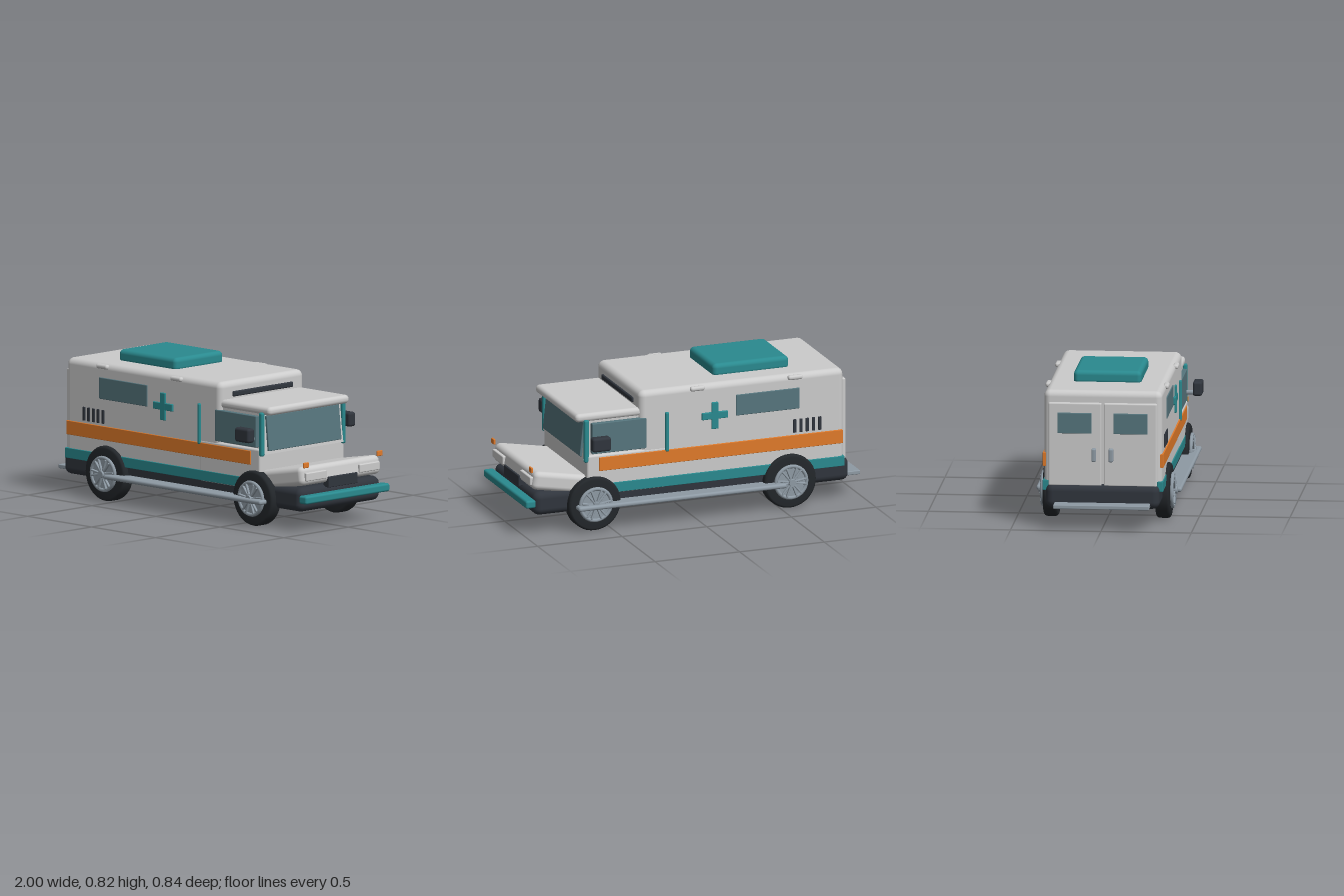
import * as THREE from 'three';
import { RoundedBoxGeometry } from 'three/addons/geometries/RoundedBoxGeometry.js';

const mat = (color) => new THREE.MeshStandardMaterial({ color });
const GREY = mat(0xcccccc), TEAL = mat(0x2a8a8f), ORANGE = mat(0xe07a2a), GLASS = mat(0x56757d);
const DARK = mat(0x30353d), TYRE = mat(0x23272b), METAL = mat(0x8e9aa4);

export function createModel() {
  const model = new THREE.Group();
  model.name = 'ambulance';

  const add = (name, geometry, material, parent = model) => {
    const mesh = new THREE.Mesh(geometry, material);
    mesh.name = name;
    parent.add(mesh);
    return mesh;
  };
  // Rounded box given by its limits on each axis
  const box = (name, material, [x0, x1], [y0, y1], [z0, z1], r = 0.005, parent = model) => {
    const mesh = add(name, new RoundedBoxGeometry(x1 - x0, y1 - y0, z1 - z0, 3, r), material, parent);
    mesh.position.set((x0 + x1) / 2, (y0 + y1) / 2, (z0 + z1) / 2);
    return mesh;
  };
  // The same box on both flanks; z limits are distances from the centre
  const pair = (name, material, x, y, [z0, z1], r) => {
    box(name + 'Left', material, x, y, [-z1, -z0], r);
    box(name + 'Right', material, x, y, [z0, z1], r);
  };

  // Main body
  box('chassis', DARK, [-0.918, 0.945], [0.11, 0.245], [-0.315, 0.315], 0.04);
  box('rearBody', GREY, [-0.88, 0.33], [0.2, 0.765], [-0.327, 0.327], 0.035);
  box('cabLower', GREY, [0.165, 0.64], [0.2, 0.43], [-0.329, 0.329], 0.012);
  const hood = box('hood', GREY, [0.6, 0.95], [0.23, 0.335], [-0.31, 0.31], 0.03);
  hood.rotation.z = 0.18;

  // Cab upper with a raked front
  const profile = new THREE.Shape([[0.28, 0.4], [0.655, 0.4], [0.63, 0.64], [0.28, 0.64]]
    .map(([x, y]) => new THREE.Vector2(x, y)));
  const cab = add('cabUpper', new THREE.ExtrudeGeometry(profile, { depth: 0.61, bevelEnabled: false }), GREY);
  cab.position.z = -0.305;
  box('cabRoof', GREY, [0.28, 0.7], [0.62, 0.668], [-0.313, 0.313], 0.022);
  const windscreen = box('windscreen', GLASS, [0.64, 0.656], [0.417, 0.613], [-0.282, 0.282], 0.004);
  windscreen.rotation.z = 0.105;
  pair('cabWindow', GLASS, [0.29, 0.61], [0.437, 0.612], [0.295, 0.33], 0.004);
  pair('windscreenPillar', TEAL, [0.625, 0.655], [0.39, 0.635], [0.302, 0.328], 0.01);

  // Side trim
  pair('sideStripe', ORANGE, [-0.87, 0.57], [0.337, 0.415], [0.31, 0.334], 0.003);
  pair('sillStripe', TEAL, [-0.88, 0.66], [0.205, 0.262], [0.3, 0.333], 0.003);
  pair('sideWindow', GLASS, [-0.615, -0.24], [0.565, 0.685], [0.31, 0.332], 0.004);
  pair('crossBar', TEAL, [-0.19, -0.037], [0.562, 0.602], [0.31, 0.338], 0.004);
  pair('crossPost', TEAL, [-0.133, -0.094], [0.505, 0.658], [0.31, 0.3385], 0.004);
  pair('grabRail', TEAL, [0.158, 0.18], [0.405, 0.633], [0.32, 0.341], 0.009);
  for (let i = 0; i < 5; i++) {
    const x = -0.735 + i * 0.037;
    pair('vent' + (i + 1), DARK, [x - 0.009, x + 0.009], [0.428, 0.505], [0.31, 0.333], 0.003);
  }
  for (const x of [-0.59, -0.012]) pair('markerLamp', GREY, [x - 0.043, x + 0.043], [0.734, 0.76], [0.31, 0.341], 0.012);
  pair('runningBoard', METAL, [-0.515, 0.715], [0.135, 0.161], [0.29, 0.402], 0.012);

  // Roof unit and front strip
  box('roofUnit', TEAL, [-0.61, -0.16], [0.75, 0.826], [-0.188, 0.188], 0.025);
  box('frontStrip', DARK, [0.31, 0.34], [0.678, 0.708], [-0.233, 0.233], 0.008);

  // Mirrors
  pair('mirrorArm', METAL, [0.575, 0.6], [0.472, 0.497], [0.3, 0.38], 0.011);
  pair('mirror', DARK, [0.53, 0.64], [0.473, 0.553], [0.367, 0.419], 0.014);

  // Nose
  box('bumper', TEAL, [0.94, 1], [0.163, 0.208], [-0.326, 0.326], 0.012);
  box('grille', DARK, [0.92, 0.962], [0.23, 0.29], [-0.113, 0.113], 0.004);
  pair('headlamp', GREY, [0.93, 0.962], [0.284, 0.331], [0.129, 0.286], 0.006);
  pair('indicator', ORANGE, [0.95, 0.962], [0.36, 0.39], [0.265, 0.305], 0.004);

  // Rear doors and step
  pair('rearDoor', GREY, [-0.9, -0.87], [0.235, 0.7], [0.006, 0.3], 0.008);
  pair('rearWindow', GLASS, [-0.908, -0.89], [0.53, 0.645], [0.06, 0.25], 0.004);
  pair('doorHandle', METAL, [-0.932, -0.895], [0.375, 0.45], [0.035, 0.06], 0.008);
  box('rearStep', METAL, [-1, -0.88], [0.123, 0.146], [-0.265, 0.265], 0.005);

  // Wheels: turned tyre, rim ring and forked spokes
  const tyreGeo = new THREE.LatheGeometry([[0.09, -0.04], [0.14, -0.04], [0.15, -0.034], [0.154, -0.024],
    [0.154, 0.024], [0.15, 0.034], [0.14, 0.04], [0.09, 0.04]]
    .map(([x, y]) => new THREE.Vector2(x, y)), 40).rotateX(Math.PI / 2);
  const discGeo = new THREE.CylinderGeometry(0.095, 0.095, 0.09, 40).rotateX(Math.PI / 2);
  const capGeo = new THREE.CylinderGeometry(0.02, 0.022, 0.03, 20).rotateX(Math.PI / 2);
  const ringGeo = new THREE.TorusGeometry(0.09, 0.011, 8, 40);
  for (const x of [-0.555, 0.6]) for (const side of [-1, 1]) {
    const wheel = new THREE.Group();
    wheel.name = (x > 0 ? 'front' : 'rear') + (side > 0 ? 'Right' : 'Left') + 'Wheel';
    wheel.position.set(x, 0.155, side * 0.311);
    if (side < 0) wheel.rotation.y = Math.PI;
    add('tyre', tyreGeo, TYRE, wheel);
    add('rimDisc', discGeo, METAL, wheel).position.z = 0.004;
    add('rimRing', ringGeo, METAL, wheel).position.z = 0.047;
    add('hubCap', capGeo, METAL, wheel).position.z = 0.058;
    for (let i = 0; i < 6; i++) {
      const spoke = new THREE.Group();
      spoke.name = 'spoke';
      spoke.rotation.z = i * Math.PI / 3;
      for (const s of [-1, 1]) {
        const arm = box('spokeArm', METAL, [0.012, 0.086], [s * 0.009 - 0.005, s * 0.009 + 0.005], [0.045, 0.062], 0.003, spoke);
        arm.rotation.z = s * 0.16;
      }
      wheel.add(spoke);
    }
    model.add(wheel);
  }
  return model;
}
